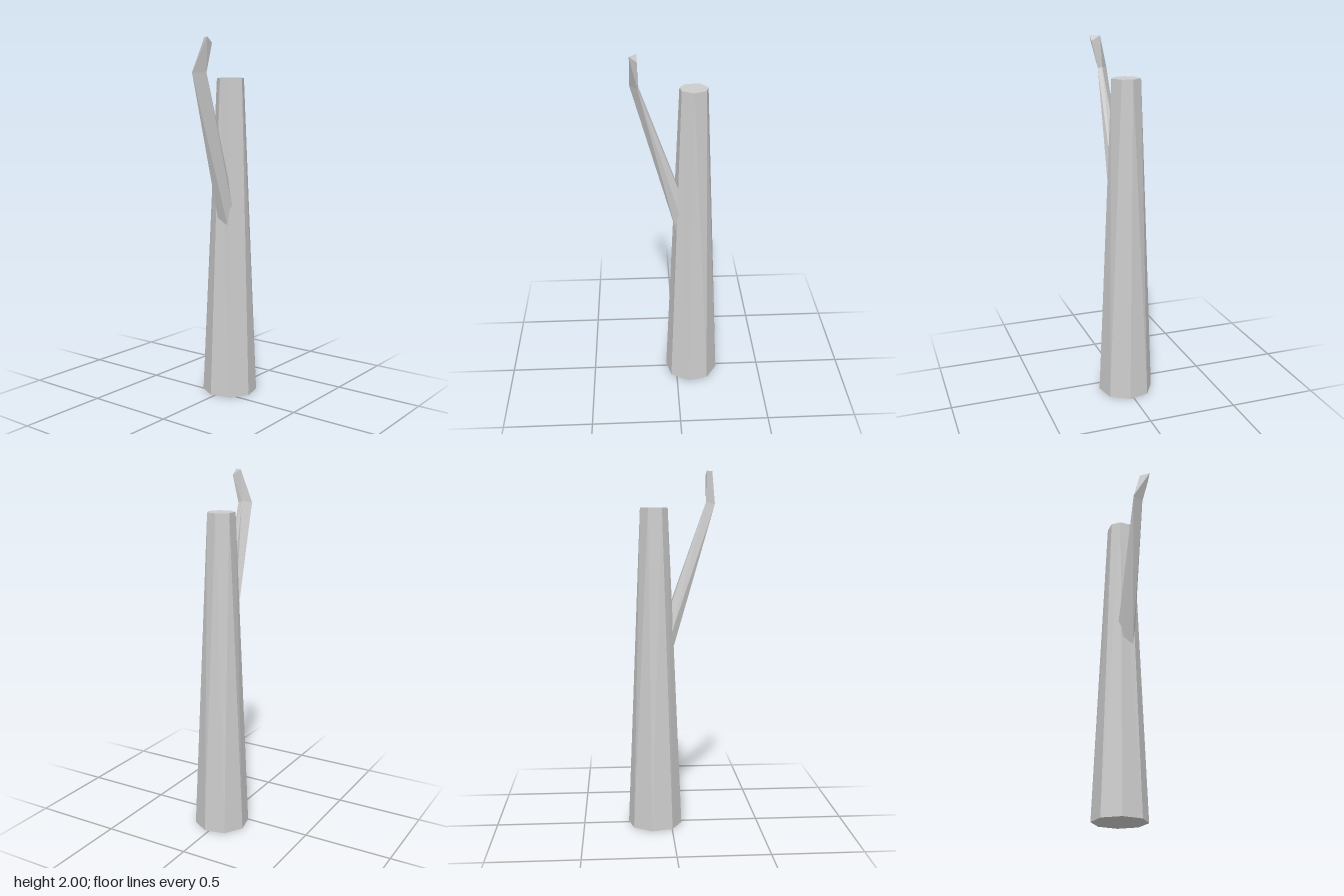
import * as THREE from 'three';

const material = new THREE.MeshStandardMaterial({ color: 0xcccccc, flatShading: true });

// Joins rings of corners (counterclockwise from above, any count) into a closed faceted solid.
function loft(name, rings) {
  const tris = [];
  for (let r = 0; r + 1 < rings.length; r++) {
    const a = rings[r], b = rings[r + 1];
    let i = 0, j = 0;
    while (i < a.length || j < b.length) {
      const p = a[i % a.length], q = b[j % b.length];
      const stepLower = (i + 0.5) / a.length <= (j + 0.5) / b.length;
      if (j >= b.length || (i < a.length && stepLower)) {
        tris.push(p, a[(i + 1) % a.length], q);
        i++;
      } else {
        tris.push(p, b[(j + 1) % b.length], q);
        j++;
      }
    }
  }
  const bottom = rings[0], top = rings[rings.length - 1];
  for (let k = 1; k + 1 < bottom.length; k++) tris.push(bottom[0], bottom[k + 1], bottom[k]);
  for (let k = 1; k + 1 < top.length; k++) tris.push(top[0], top[k], top[k + 1]);

  const geometry = new THREE.BufferGeometry();
  geometry.setAttribute('position', new THREE.Float32BufferAttribute(tris.flat(), 3));
  geometry.computeVertexNormals();
  const mesh = new THREE.Mesh(geometry, material);
  mesh.name = name;
  return mesh;
}

// Lifts flat [x, z] corners to a height.
const level = (y, points) => points.map(([x, z]) => [x, y, z]);

export function createModel() {
  const model = new THREE.Group();
  model.name = 'deadTree';

  // Trunk: eight sides at the ground narrowing to seven at the cut top
  model.add(loft('trunk', [
    level(0, [[-0.025, 0.06], [0.09, 0.033], [0.151, -0.067], [0.124, -0.181],
      [0.023, -0.243], [-0.09, -0.216], [-0.152, -0.115], [-0.125, 0.002]]),
    level(1.8, [[-0.018, -0.018], [0.041, -0.027], [0.08, -0.089], [0.046, -0.155],
      [-0.012, -0.169], [-0.072, -0.127], [-0.066, -0.052]]),
  ]));

  // Branch: root inside the trunk, three-sided elbow, slanted tip
  model.add(loft('branch', [
    [[-0.01, 0.98, 0], [0.05, 0.98, 0], [0.068, 1.08, -0.02],
      [0.045, 1.16, -0.04], [-0.018, 1.15, -0.04], [-0.036, 1.06, -0.015]],
    [[-0.004, 1.82, 0.241], [0.06, 1.82, 0.199], [0.036, 1.83, 0.196]],
    [[0.096, 2, 0.237], [0.096, 1.97, 0.198], [0.046, 2, 0.2]],
  ]));

  return model;
}
